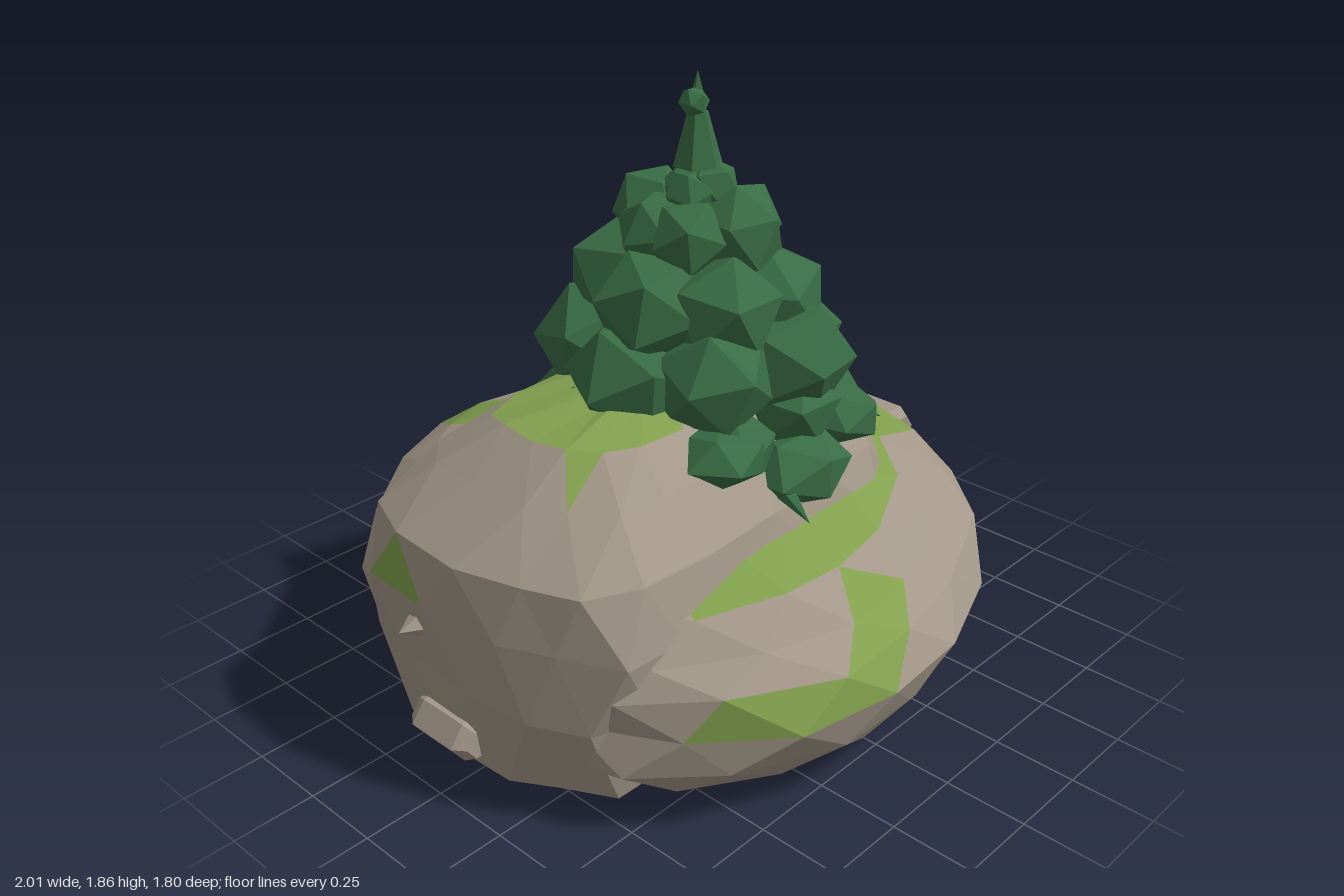
import * as THREE from 'three';

const material = (name, color) => {
  const m = new THREE.MeshStandardMaterial({ color });
  m.name = name;
  return m;
};

// Seeded random in -1..1
function seeded(seed) {
  return () => {
    seed = (seed * 16807) % 2147483647;
    return (seed / 2147483647) * 2 - 1;
  };
}

// Flat-faced copy of a geometry
function faceted(geo) {
  const g = geo.index ? geo.toNonIndexed() : geo;
  g.computeVertexNormals();
  return g;
}

// Plan outlines [x, z] in order from +x towards +z
const lowerPlan = [
  [0.97, 0], [0.95, 0.2], [0.85, 0.42], [0.67, 0.65], [0.3, 0.83], [0, 0.9], [-0.28, 0.89], [-0.6, 0.74],
  [-0.79, 0.52], [-0.86, 0.2], [-0.88, -0.1], [-0.88, -0.33], [-0.83, -0.49], [-0.6, -0.68], [-0.35, -0.85],
  [-0.13, -0.9], [0.1, -0.87], [0.3, -0.82], [0.5, -0.73], [0.65, -0.62], [0.82, -0.4], [0.92, -0.2],
];
const boulderPlan = [
  [0.65, 0], [0.61, 0.2], [0.5, 0.36], [0.3, 0.47], [0, 0.5], [-0.3, 0.5], [-0.58, 0.5], [-0.78, 0.49],
  [-0.88, 0.33], [-0.95, 0.18], [-0.96, -0.1], [-0.94, -0.33], [-0.83, -0.46], [-0.55, -0.48], [-0.33, -0.54],
  [-0.05, -0.5], [0.25, -0.45], [0.45, -0.36], [0.59, -0.19],
];

// Rock from a plan fitted into rings [y, xMin, xMax, zMin, zMax]; faces passing isMoss get the second material
function rockGeometry(plan, rings, { jitter, tilt, seed, isMoss }) {
  const rnd = seeded(seed);
  const segments = plan.length;
  const fit = (axis) => {
    const v = plan.map((p) => p[axis]);
    const lo = Math.min(...v), hi = Math.max(...v);
    return (value) => (value - lo) / (hi - lo);
  };
  const u = fit(0), w = fit(1);
  const loops = rings.map(([y, x0, x1, z0, z1], i) =>
    plan.map(([px, pz], j) => {
      const next = plan[(j + 1) % segments];
      const t = (i % 2) * 0.5;
      const fx = u(px + (next[0] - px) * t), fz = w(pz + (next[1] - pz) * t);
      const r = 1 + rnd() * jitter;
      const lift = y > 0.5 ? -tilt * (fz * 2 - 1) : 0;
      return new THREE.Vector3(
        (x0 + x1) / 2 + (x1 - x0) * (fx - 0.5) * r,
        y + lift + rnd() * jitter * (i === 0 ? 0.1 : 0.5),
        (z0 + z1) / 2 + (z1 - z0) * (fz - 0.5) * r);
    }));
  const plain = [], mossy = [];
  const tri = (a, b, c) => {
    const mid = a.clone().add(b).add(c).divideScalar(3);
    const list = isMoss(mid) ? mossy : plain;
    for (const p of [a, b, c]) list.push(p.x, p.y, p.z);
  };
  const middle = (loop) => loop.reduce((m, p) => m.add(p), new THREE.Vector3()).divideScalar(segments);
  const base = middle(loops[0]), peak = middle(loops[loops.length - 1]);
  for (let j = 0; j < segments; j++) {
    const n = (j + 1) % segments;
    for (let i = 0; i < loops.length - 1; i++) {
      const A = loops[i], B = loops[i + 1];
      if (i % 2) {
        tri(A[j], B[j], B[n]);
        tri(A[j], B[n], A[n]);
      } else {
        tri(A[j], B[j], A[n]);
        tri(A[n], B[j], B[n]);
      }
    }
    const last = loops[loops.length - 1];
    tri(base, loops[0][j], loops[0][n]);
    tri(peak, last[n], last[j]);
  }
  const geo = new THREE.BufferGeometry();
  geo.setAttribute('position', new THREE.Float32BufferAttribute([...plain, ...mossy], 3));
  geo.addGroup(0, plain.length / 3, 0);
  geo.addGroup(plain.length / 3, mossy.length / 3, 1);
  geo.computeVertexNormals();
  return geo;
}

export function createModel() {
  const model = new THREE.Group();
  model.name = 'mossyRockWithPine';
  const rock = material('rock', 0xa29788);
  const moss = material('moss', 0x82a04e);
  const pine = material('pine', 0x396c44);

  const add = (parent, name, geo, mat, pos = [0, 0, 0], scale = [1, 1, 1], rot = [0, 0, 0]) => {
    const mesh = new THREE.Mesh(geo, mat);
    mesh.name = name;
    mesh.position.set(...pos);
    mesh.scale.set(...scale);
    mesh.rotation.set(...rot);
    parent.add(mesh);
    return mesh;
  };

  // Wide lower rock with a mossy shelf
  add(model, 'lowerRock', rockGeometry(lowerPlan, [
    [0.06, -0.55, 0.66, -0.62, 0.62],
    [0.10, -0.80, 0.92, -0.80, 0.79],
    [0.20, -0.86, 0.97, -0.87, 0.86],
    [0.33, -0.88, 0.98, -0.91, 0.91],
    [0.44, -0.88, 0.96, -0.90, 0.85],
    [0.54, -0.86, 0.90, -0.88, 0.77],
    [0.64, -0.76, 0.66, -0.74, 0.66],
    [0.71, -0.55, 0.45, -0.56, 0.50],
  ], {
    jitter: 0.02, tilt: 0.035, seed: 71,
    isMoss: ({ x, y, z }) => {
      const a = Math.atan2(z, x);
      const r = Math.hypot(x / 0.97, z / 0.9);
      return (y > 0.56 && a > -1.45 && a < 0.42 && r < 0.87)
        || (y > 0.61 && z > 0 && x > -0.5)
        || (y > 0.46 && a > 0.1 && a < 0.25)
        || (z > 0.5 && x > -0.58 && x < -0.12 && y > 0.34 && y < 0.43)
        || (z > 0.5 && x > -0.28 && x < 0 && y > 0.43 && y < 0.55)
        || (z < -0.55 && x > -0.36 && x < -0.12 && y > 0.55)
        || (z < -0.3 && x < -0.52 && x > -0.75 && y > 0.65);
    },
  }), [rock, moss]);

  // Taller boulder behind the tree
  add(model, 'boulder', rockGeometry(boulderPlan, [
    [0.08, -0.90, 0.55, -0.45, 0.45],
    [0.33, -0.95, 0.66, -0.53, 0.52],
    [0.55, -0.95, 0.66, -0.54, 0.53],
    [0.73, -0.94, 0.59, -0.50, 0.49],
    [0.87, -0.78, 0.50, -0.38, 0.37],
    [0.97, -0.64, 0.43, -0.26, 0.26],
    [1.01, -0.38, 0.38, -0.12, 0.12],
  ], {
    jitter: 0.018, tilt: 0, seed: 33,
    isMoss: ({ x, y, z }) => (y > 0.94 && x < -0.25 && z < 0.24)
      || (x < -0.85 && z < -0.08 && z > -0.22 && y > 0.57 && y < 0.7),
  }), [rock, moss]);
  add(model, 'boulderPeak', faceted(new THREE.ConeGeometry(0.15, 0.24, 7)), rock, [0.38, 0.95, 0.02]);

  // Chamfered stones stuck to the sides, lying along z
  const profile = [[0, -1], [0.7, -1], [1, -0.7], [1, 0.7], [0.7, 1], [0, 1]]
    .map(([r, y]) => new THREE.Vector2(r, y));
  const stoneGeo = faceted(new THREE.LatheGeometry(profile, 6).rotateX(Math.PI / 2).rotateZ(Math.PI / 6));
  [
    [0.91, 0.165, 0.02, 0.085, 0.07, 0.165],
    [0.915, 0.32, 0.025, 0.085, 0.075, 0.155],
    [0.91, 0.465, 0.01, 0.095, 0.075, 0.125],
    [-0.89, 0.155, -0.05, 0.09, 0.07, 0.12],
  ].forEach(([x, y, z, sx, sy, sz], i) =>
    add(model, i < 3 ? 'stackedStone' : 'sideStone', stoneGeo, rock, [x, y, z], [sx, sy, sz]));
  add(model, 'sideSpur', faceted(new THREE.ConeGeometry(0.06, 0.1, 5)), rock,
    [-0.95, 0.47, -0.13], [1, 1, 1], [0, 0, Math.PI / 2]);

  // Pine made of tiers of faceted clumps: [y, ring radius, clump size, count, flatten]
  const tree = new THREE.Group();
  tree.name = 'pineTree';
  tree.position.set(0.01, 0, 0.03);
  model.add(tree);
  const clump = faceted(new THREE.IcosahedronGeometry(1, 0));
  const rnd = seeded(512);
  add(tree, 'treeCore', faceted(new THREE.ConeGeometry(0.36, 0.98, 9)), pine, [0, 1.12, 0]);
  [
    [0.90, 0.33, 0.145, 9, 0.8],
    [1.05, 0.28, 0.18, 7, 0.95],
    [1.24, 0.215, 0.17, 6, 0.95],
    [1.42, 0.14, 0.13, 6, 1],
    [1.53, 0.045, 0.075, 4, 1],
  ].forEach(([y, ring, size, count, flat], t) => {
    for (let i = 0; i < count; i++) {
      const a = ((i + t * 0.45) / count) * Math.PI * 2 + rnd() * 0.12;
      const r = ring * (1 + rnd() * 0.08);
      const s = size * (1 + rnd() * 0.1);
      add(tree, 'foliageClump', clump, pine,
        [Math.cos(a) * r, y + rnd() * 0.03, Math.sin(a) * r],
        [s, s * flat, s], [rnd() * 0.4, rnd() * 3, rnd() * 0.4]);
    }
  });
  // Drooping lowest clumps, front and back: [x, y, z, half width, half height]
  [
    [0.0, 0.79, 0.39, 0.18, 0.11], [0.25, 0.85, 0.33, 0.14, 0.09], [-0.24, 0.89, 0.31, 0.15, 0.09],
    [0.05, 0.80, -0.38, 0.16, 0.11], [0.24, 0.82, -0.33, 0.14, 0.1], [-0.19, 0.83, -0.33, 0.15, 0.1],
  ].forEach(([x, y, z, w, h], i) =>
    add(tree, 'lowFoliageClump', clump, pine, [x, y, z], [w, h, 0.14], [0, i * 0.3, 0]));
  // Needle tips under the lowest clumps
  const needle = faceted(new THREE.ConeGeometry(0.045, 0.18, 5));
  for (const [x, y, z] of [[0.4, 0.86, 0.12], [0.16, 0.76, -0.47], [-0.12, 0.76, 0.47], [0.33, 0.84, 0.33]]) {
    const tip = add(tree, 'needleTip', needle, pine, [x, y, z]);
    tip.quaternion.setFromUnitVectors(new THREE.Vector3(0, 1, 0), new THREE.Vector3(x, -0.2, z).normalize());
  }
  // Pointed crown
  add(tree, 'crownBase', faceted(new THREE.CylinderGeometry(0.03, 0.072, 0.15, 6)), pine, [0, 1.665, 0]);
  add(tree, 'crownKnob', clump, pine, [-0.015, 1.77, 0], [0.045, 0.045, 0.045]);
  add(tree, 'crownTip', faceted(new THREE.ConeGeometry(0.025, 0.09, 5)), pine, [0, 1.81, 0]);

  // Small tufts poking out underneath
  [
    [0.13, -0.15, 0.09, pine],
    [-0.11, -0.03, 0.065, moss],
    [-0.21, 0.06, 0.06, pine],
    [-0.26, 0.02, 0.03, moss],
  ].forEach(([x, z, s, mat]) =>
    add(model, 'rootTuft', faceted(new THREE.OctahedronGeometry(1, 0)), mat, [x, 0.06, z], [s, 0.06, s]));

  return model;
}
